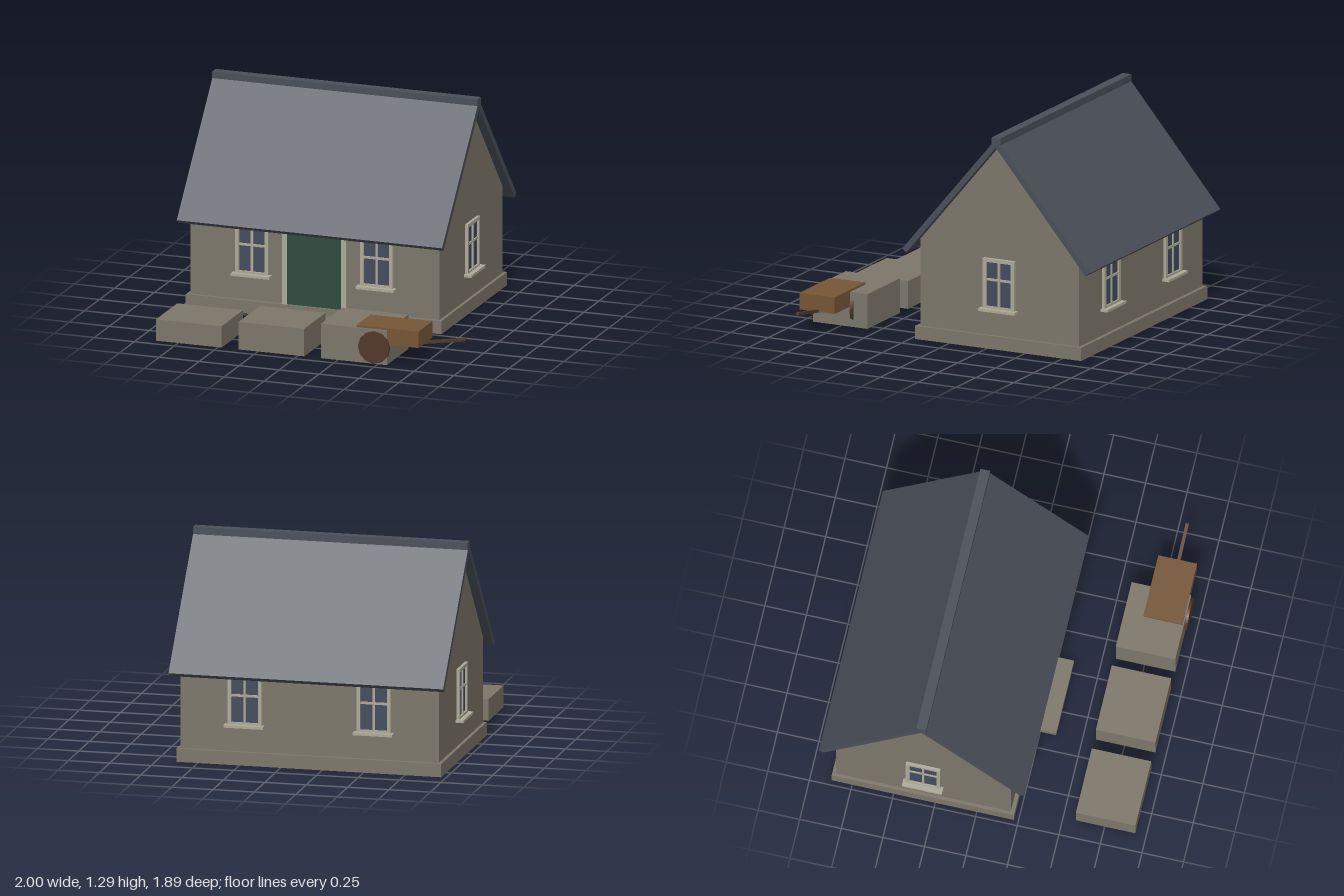
import * as THREE from 'three';

function material(name, color) {
  const m = new THREE.MeshStandardMaterial({ color });
  m.name = name;
  return m;
}

export function createModel() {
  const model = new THREE.Group();
  model.name = 'cottage';
  const stone = material('stone', 0x7d776a);
  const slate = material('slate', 0x4a4f59);
  const trim = material('trim', 0xaeaa9a);
  const glass = material('glass', 0x434b5c);
  const green = material('door green', 0x2f4b3e);
  const wood = material('wood', 0x765637);
  const darkWood = material('dark wood', 0x523828);

  const mesh = (name, geo, mat, parent = model) => {
    const m = new THREE.Mesh(geo, mat);
    m.name = name;
    parent.add(m);
    return m;
  };
  // Box given by its extents along each axis
  const box = (name, mat, [x0, x1], [y0, y1], [z0, z1], parent = model) => {
    const m = mesh(name, new THREE.BoxGeometry(x1 - x0, y1 - y0, z1 - z0), mat, parent);
    m.position.set((x0 + x1) / 2, (y0 + y1) / 2, (z0 + z1) / 2);
    return m;
  };

  const CX = -0.17, CZ = -0.325; // centre of the house
  // Gable-end outline extruded along x, centred on the house
  const prism = (name, mat, points, length) => {
    const shape = new THREE.Shape(points.map(([x, y]) => new THREE.Vector2(x, y)));
    const geo = new THREE.ExtrudeGeometry(shape, { depth: length, bevelEnabled: false });
    geo.translate(0, 0, -length / 2).rotateY(Math.PI / 2);
    mesh(name, geo, mat).position.set(CX, 0, CZ);
  };

  // House shell
  box('plinth', stone, [-0.97, 0.63], [0, 0.08], [-0.873, 0.223]);
  prism('walls', stone, [[-0.525, 0.04], [0.525, 0.04], [0.525, 0.612], [0, 1.24], [-0.525, 0.612]], 1.56);
  prism('roof', slate, [
    [0.592, 0.525], [0.618, 0.547], [0, 1.285], [-0.618, 0.547], [-0.592, 0.525], [0, 1.232],
  ], 1.66);
  box('ridge', slate, [-1, 0.66], [1.25, 1.293], [-0.356, -0.298]);

  // Door and step
  box('door', green, [-0.34, 0], [0, 0.575], [0.195, 0.209]);
  for (const x of [-0.37, 0]) box('doorJamb', trim, [x, x + 0.03], [0.02, 0.575], [0.195, 0.217]);
  box('doorLintel', trim, [-0.37, 0.03], [0.575, 0.597], [0.195, 0.217]);
  box('step', stone, [-0.4, 0.065], [0, 0.035], [0.18, 0.345]);

  // Window facing +z, with the wall plane at z = 0
  const addWindow = (x, z, turn) => {
    const w = new THREE.Group();
    w.name = 'window';
    box('glass', glass, [-0.09, 0.09], [0.25, 0.535], [-0.005, 0.006], w);
    for (const s of [-0.092, 0.092]) box('frameSide', trim, [s - 0.011, s + 0.011], [0.235, 0.546], [-0.005, 0.018], w);
    for (const y of [0.235, 0.524]) box('frameRail', trim, [-0.081, 0.081], [y, y + 0.022], [-0.005, 0.018], w);
    box('verticalBar', trim, [-0.007, 0.007], [0.257, 0.524], [-0.005, 0.014], w);
    box('crossBar', trim, [-0.081, 0.081], [0.411, 0.425], [-0.005, 0.013], w);
    box('sill', trim, [-0.12, 0.12], [0.228, 0.244], [-0.005, 0.046], w);
    w.position.set(x, 0, z);
    w.rotation.y = turn;
    model.add(w);
  };
  for (const x of [-0.56, 0.22]) {
    addWindow(x, 0.2, 0);
    addWindow(x, -0.85, Math.PI);
  }
  addWindow(0.61, CZ, Math.PI / 2);
  addWindow(-0.95, CZ, -Math.PI / 2);

  // Row of stone blocks, rising to the left
  [[-0.89, 0.13], [-0.373, 0.168], [0.144, 0.21]].forEach(([x, h]) =>
    box('stoneBlock', stone, [x, x + 0.412], [0, h], [0.577, 0.935]));

  // Handcart
  const cart = new THREE.Group();
  cart.name = 'handcart';
  model.add(cart);
  box('cartBox', wood, [0.362, 0.75], [0.122, 0.222], [0.692, 0.926], cart);
  for (const z of [0.678, 0.941]) {
    const geo = new THREE.CylinderGeometry(0.098, 0.098, 0.018, 12).rotateX(Math.PI / 2);
    mesh('wheel', geo, darkWood, cart).position.set(0.478, 0.102, z);
  }
  const handle = mesh('handle', new THREE.BoxGeometry(0.31, 0.017, 0.02), darkWood, cart);
  handle.position.set(0.847, 0.142, 0.809);
  handle.rotation.z = 0.16;

  return model;
}
